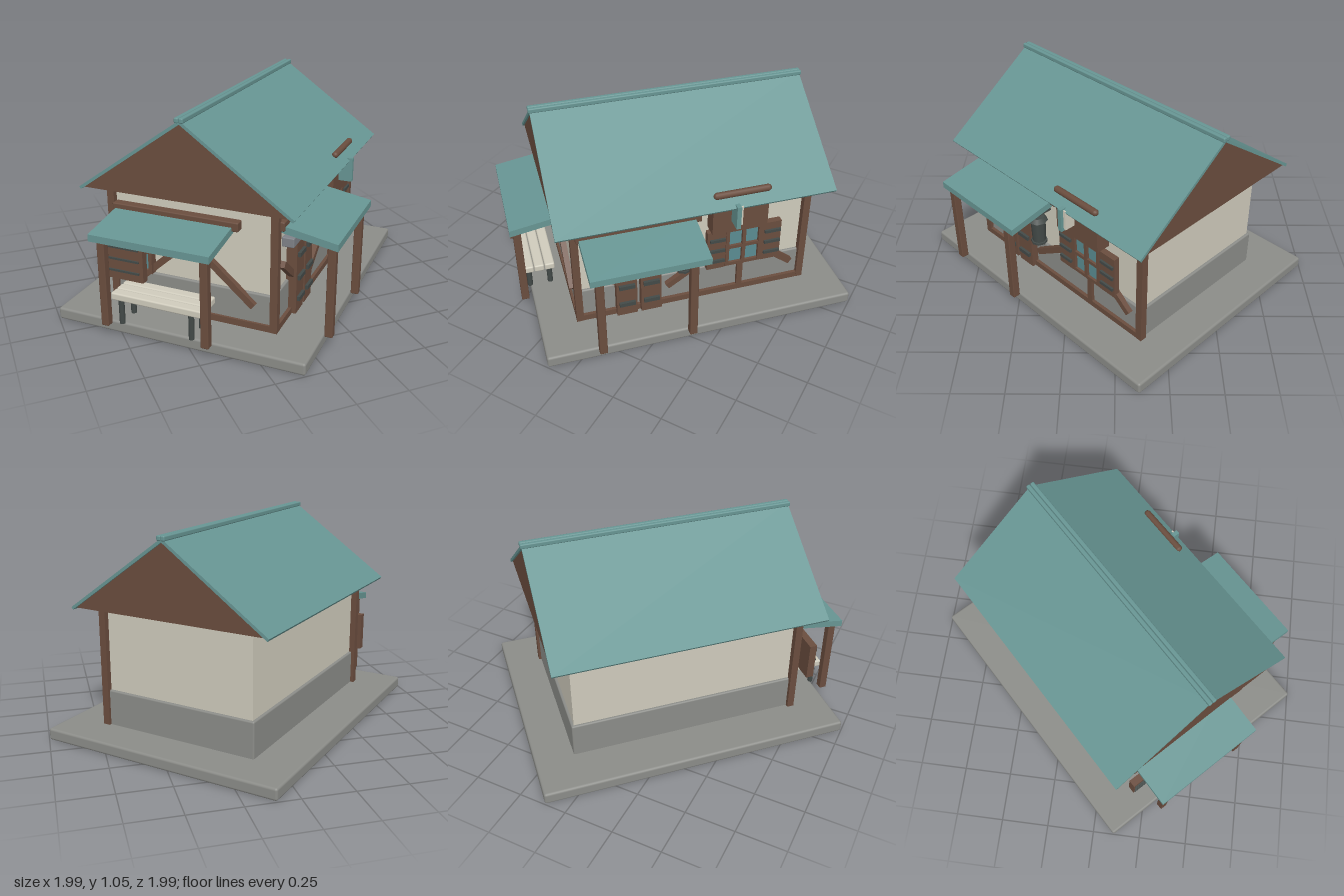
import * as THREE from 'three';
import { RoundedBoxGeometry } from 'three/addons/geometries/RoundedBoxGeometry.js';

const mat = (name, color) => {
  const m = new THREE.MeshStandardMaterial({ color });
  m.name = name;
  return m;
};

export function createModel() {
  const M = {
    teal: mat('teal tiles', 0x679593),
    timber: mat('brown timber', 0x6a4d3e),
    plaster: mat('cream plaster', 0xcfcbbc),
    stone: mat('grey stone', 0x8b8c88),
    iron: mat('dark iron', 0x434a48),
    glass: mat('window glass', 0x5a8c92),
    slate: mat('slate lintel', 0x7f8288),
  };
  const model = new THREE.Group();
  const house = new THREE.Group();
  house.name = 'house';
  house.rotation.y = Math.PI / 4;
  model.add(house);

  const add = (parent, name, geo, material, x = 0, y = 0, z = 0) => {
    const m = new THREE.Mesh(geo, material);
    m.name = name;
    m.position.set(x, y, z);
    parent.add(m);
    return m;
  };
  // box from its limits; r rounds the edges
  const box = (p, name, material, x0, x1, y0, y1, z0, z1, r = 0) => {
    const s = [x1 - x0, y1 - y0, z1 - z0];
    const g = r ? new RoundedBoxGeometry(...s, 2, r) : new THREE.BoxGeometry(...s);
    return add(p, name, g, material, (x0 + x1) / 2, (y0 + y1) / 2, (z0 + z1) / 2);
  };
  // slanted timber on a wall face
  const brace = (p, x0, y0, x1, y1, z) => {
    const len = Math.hypot(x1 - x0, y1 - y0);
    const m = add(p, 'brace', new THREE.BoxGeometry(len, 0.032, 0.028), M.timber, (x0 + x1) / 2, (y0 + y1) / 2, z);
    m.rotation.z = Math.atan2(y1 - y0, x1 - x0);
  };

  // base, plinth and walls
  box(house, 'base', M.stone, -0.785, 0.785, 0, 0.06, -0.63, 0.63, 0.012);
  box(house, 'plinth', M.stone, -0.59, 0.59, 0.05, 0.24, -0.413, 0.413, 0.008);
  box(house, 'walls', M.plaster, -0.577, 0.577, 0.06, 0.67, -0.4, 0.4);

  // attic prism with gables at both ends
  const tri = new THREE.Shape([
    new THREE.Vector2(-0.508, 0.665), new THREE.Vector2(0.508, 0.665), new THREE.Vector2(0, 1.028)]);
  const attic = add(house, 'attic',
    new THREE.ExtrudeGeometry(tri, { depth: 1.34, bevelEnabled: false }), M.timber, -0.67);
  attic.rotation.y = Math.PI / 2;

  // roof slabs and ridge
  const slab = new THREE.Shape([
    new THREE.Vector2(0, 1.024), new THREE.Vector2(0.522, 0.655),
    new THREE.Vector2(0.53, 0.667), new THREE.Vector2(0, 1.042)]);
  for (const s of [1, -1]) {
    const side = new THREE.Group();
    side.name = 'roofSide';
    side.rotation.y = s > 0 ? 0 : Math.PI;
    house.add(side);
    const roof = add(side, 'roof',
      new THREE.ExtrudeGeometry(slab, { depth: 1.36, bevelEnabled: false }), M.teal, 0.68);
    roof.rotation.y = -Math.PI / 2;
    box(side, 'ridgeStrip', M.teal, -0.687, 0.687, 1.03, 1.054, 0.001, 0.022, 0.006);
  }

  // corner posts
  for (const [x, z] of [[-0.585, -0.413], [-0.585, 0.413], [0.585, 0.413]])
    box(house, 'cornerPost', M.timber, x - 0.018, x + 0.018, 0.06, 0.665, z - 0.018, z + 0.018);

  // two timbered faces: z points out of the wall, x runs along it
  const front = new THREE.Group();
  front.name = 'longFace';
  const gable = new THREE.Group();
  gable.name = 'gableFace';
  gable.rotation.y = -Math.PI / 2;
  house.add(front, gable);

  for (const [f, w, d] of [[front, 0.585, 0.4], [gable, 0.413, 0.572]]) {
    box(f, 'sill', M.timber, -w, w, 0.06, 0.092, d, d + 0.03);
    box(f, 'topBeam', M.timber, -w, w, 0.635, 0.665, d, d + 0.028);
  }
  brace(front, -0.14, 0.18, 0.12, 0.35, 0.425);
  brace(front, 0.52, 0.185, 0.36, 0.31, 0.425);
  brace(front, -0.53, 0.38, -0.38, 0.26, 0.425);
  box(front, 'stud', M.timber, 0.232, 0.262, 0.09, 0.27, 0.4, 0.43);
  brace(gable, 0.085, 0.38, 0.317, 0.18, 0.6);
  brace(gable, -0.28, 0.2, -0.08, 0.38, 0.6);

  // lean-to canopy with two posts and a wall beam
  const canopy = (f, x0, x1, z0, z1, yBack, yOut, posts, beam) => {
    const th = 0.034;
    const sh = new THREE.Shape([
      new THREE.Vector2(z0, yBack - th), new THREE.Vector2(z1, yOut - th),
      new THREE.Vector2(z1, yOut), new THREE.Vector2(z0, yBack)]);
    const m = add(f, 'canopy',
      new THREE.ExtrudeGeometry(sh, { depth: x1 - x0, bevelEnabled: false }), M.teal, x1);
    m.rotation.y = -Math.PI / 2;
    for (const x of posts)
      box(f, 'canopyPost', M.timber, x - 0.019, x + 0.019, 0.06, yOut - 0.025, z1 - 0.054, z1 - 0.016, 0.004);
    box(f, 'canopyBeam', M.timber, x0 - 0.015, x1 + 0.03, beam, beam + 0.045, z0 - 0.03, z0 + 0.02, 0.006);
  };
  canopy(front, -0.565, 0, 0.43, 0.69, 0.585, 0.538, [-0.52, -0.075], 0.562);
  canopy(gable, -0.38, 0.216, 0.6, 0.858, 0.563, 0.522, [-0.33, 0.18], 0.54);

  // double door with iron straps, under a slate lintel
  for (const s of [-1, 1]) {
    const c = -0.288 + s * 0.062;
    box(front, 'doorLeaf', M.timber, c - 0.052, c + 0.052, 0.065, 0.44, 0.4, 0.452);
    for (const y of [0.14, 0.25, 0.37])
      box(front, 'doorStrap', M.iron, c - 0.04, c + 0.04, y - 0.011, y + 0.011, 0.45, 0.466);
  }
  box(front, 'doorLintel', M.slate, -0.475, -0.11, 0.44, 0.487, 0.4, 0.46, 0.005);

  // lantern on a short arm
  const lx = -0.07, lz = 0.477;
  box(front, 'lanternArm', M.iron, lx - 0.01, lx + 0.01, 0.475, 0.49, 0.4, lz);
  add(front, 'lanternBody', new THREE.CylinderGeometry(0.038, 0.034, 0.12, 8), M.iron, lx, 0.385, lz);
  add(front, 'lanternCap', new THREE.CylinderGeometry(0.034, 0.05, 0.022, 8), M.iron, lx, 0.462, lz);
  add(front, 'lanternFoot', new THREE.CylinderGeometry(0.042, 0.042, 0.012, 8), M.iron, lx, 0.322, lz);

  // framed window with glazing bars
  const windowAt = (f, x0, x1, y0, y1, d) => {
    const t = 0.018, cx = (x0 + x1) / 2, cy = (y0 + y1) / 2;
    box(f, 'windowGlass', M.glass, x0, x1, y0, y1, d, d + 0.025);
    for (const x of [x0, cx, x1])
      box(f, 'windowUpright', M.timber, x - t / 2, x + t / 2, y0, y1, d, d + 0.04);
    for (const y of [y0, cy, y1])
      box(f, 'windowRail', M.timber, x0 - t / 2, x1 + t / 2, y - t / 2, y + t / 2, d, d + 0.038);
  };
  windowAt(front, 0.165, 0.335, 0.262, 0.475, 0.415);
  windowAt(gable, -0.36, -0.2, 0.262, 0.465, 0.59);

  // shutters with straps
  for (const [a, b] of [[0.06, 0.155], [0.345, 0.445]]) {
    box(front, 'shutter', M.timber, a, b, 0.25, 0.48, 0.42, 0.452);
    for (const y of [0.3, 0.365, 0.43])
      box(front, 'shutterStrap', M.iron, a + 0.012, b - 0.005, y - 0.008, y + 0.008, 0.45, 0.463);
  }

  // hatch panel with a round bar and hanging plate above the window
  box(front, 'hatchPanel', M.timber, 0.075, 0.357, 0.487, 0.665, 0.4, 0.475);
  const bar = add(front, 'hatchBar', new THREE.CapsuleGeometry(0.017, 0.255, 4, 10), M.timber, 0.218, 0.715, 0.474);
  bar.rotation.z = Math.PI / 2;
  box(front, 'hangingPlate', M.teal, 0.168, 0.19, 0.555, 0.68, 0.475, 0.545);
  box(front, 'hangingPlateTrim', M.plaster, 0.19, 0.204, 0.565, 0.672, 0.475, 0.53);

  // bench with iron legs
  const bench = new THREE.Group();
  bench.name = 'bench';
  gable.add(bench);
  for (let i = 0; i < 3; i++)
    box(bench, 'seatSlat', M.plaster, -0.31, 0.15, 0.185, 0.222, 0.655 + i * 0.053, 0.705 + i * 0.053, 0.008);
  for (const x of [-0.27, 0.09])
    for (const z of [0.68, 0.785])
      add(bench, 'benchLeg', new THREE.CylinderGeometry(0.014, 0.014, 0.13, 8), M.iron, x, 0.123, z);

  // slatted board behind the bench
  box(bench, 'backBoard', M.timber, -0.43, -0.2, 0.235, 0.435, 0.66, 0.698);
  for (const y of [0.28, 0.34, 0.4])
    box(bench, 'boardStrap', M.iron, -0.425, -0.22, y - 0.005, y + 0.005, 0.697, 0.705);

  return model;
}
